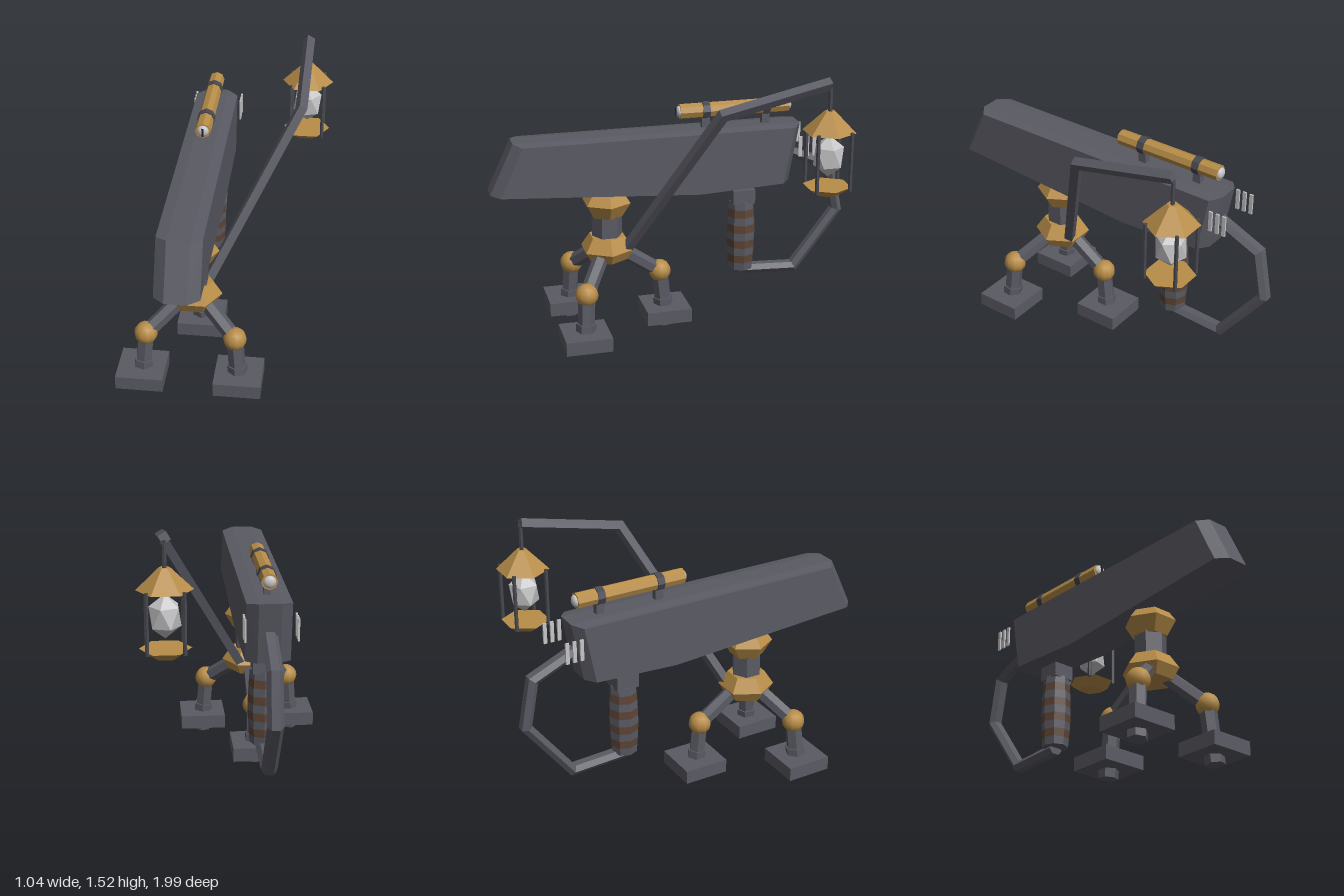
import * as THREE from 'three';
import { ConvexGeometry } from 'three/addons/geometries/ConvexGeometry.js';

const V = (x, y, z) => new THREE.Vector3(x, y, z);
const CX = -0.135, HZ = 0.365; // body centre line and hub position

const mat = (name, color) => {
  const m = new THREE.MeshStandardMaterial({ color });
  m.name = name;
  return m;
};

// Facet a geometry by giving every face its own normals
const facet = (g) => {
  const f = g.index ? g.toNonIndexed() : g;
  f.computeVertexNormals();
  return f;
};

// Straight faceted rod between two points
function rodGeo(a, b, r0, r1, sides) {
  const d = b.clone().sub(a);
  const g = new THREE.CylinderGeometry(r1, r0, d.length(), sides);
  g.applyQuaternion(new THREE.Quaternion().setFromUnitVectors(V(0, 1, 0), d.normalize()));
  const c = a.clone().add(b).multiplyScalar(0.5);
  return facet(g.translate(c.x, c.y, c.z));
}

// Bar with mitred corners along a planar path
function barGeo(pts, rSide, rPlane, sides, phase) {
  const ref = pts[1].clone().sub(pts[0]).cross(pts[2].clone().sub(pts[0])).normalize();
  const dirs = pts.slice(1).map((p, i) => p.clone().sub(pts[i]).normalize());
  const rings = pts.map((p, i) => {
    const d = dirs[Math.max(0, i - 1)], out = dirs[Math.min(dirs.length - 1, i)];
    const t = d.clone().add(out).normalize();
    const v = d.clone().cross(ref);
    return Array.from({ length: sides }, (_, j) => {
      const a = phase + (j / sides) * Math.PI * 2;
      const q = ref.clone().multiplyScalar(Math.cos(a) * rSide).addScaledVector(v, Math.sin(a) * rPlane);
      q.addScaledVector(d, -q.dot(t) / d.dot(t));
      return q.add(p);
    });
  });
  const tris = [];
  for (let i = 0; i < rings.length - 1; i++)
    for (let j = 0; j < sides; j++) {
      const k = (j + 1) % sides, A = rings[i], B = rings[i + 1];
      tris.push(A[j], A[k], B[k], A[j], B[k], B[j]);
    }
  const first = rings[0], last = rings[rings.length - 1];
  for (let j = 1; j < sides - 1; j++)
    tris.push(first[0], first[j + 1], first[j], last[0], last[j], last[j + 1]);
  return facet(new THREE.BufferGeometry().setFromPoints(tris));
}

// Closed faceted turned shape from [radius, y] pairs, bottom to top
const turnGeo = (profile, sides, turn) =>
  facet(new THREE.LatheGeometry(profile.map(([r, y]) => new THREE.Vector2(r, y)), sides).rotateY(turn));

export function createModel() {
  const steel = mat('steel', 0x5a5a64);
  const darkSteel = mat('dark steel', 0x484850);
  const gold = mat('gold', 0xb88d48);
  const brown = mat('brown leather', 0x5e4536);
  const pale = mat('pale crystal', 0xc6c6c8);
  const black = mat('black', 0x202024);

  const model = new THREE.Group();
  model.name = 'tripodDevice';
  const add = (name, geo, material, x = 0, y = 0, z = 0, parent = model) => {
    const m = new THREE.Mesh(geo, material);
    m.name = name;
    m.position.set(x, y, z);
    parent.add(m);
    return m;
  };
  const group = (name) => {
    const g = new THREE.Group();
    g.name = name;
    model.add(g);
    return g;
  };
  const box = (w, h, d) => new THREE.BoxGeometry(w, h, d);

  // Long body with chamfered, raked ends and a slightly bent belly
  const hull = [];
  for (const s of [-1, 1]) {
    hull.push(
      V(s * 0.057, 1.15, 0.87), V(s * 0.115, 1.14, 0.825),
      V(s * 0.057, 1.15, -0.715), V(s * 0.115, 1.14, -0.67),
      V(s * 0.057, 0.875, 1.0), V(s * 0.115, 0.872, 0.95),
      V(s * 0.115, 0.8, -0.14),
      V(s * 0.057, 0.825, -0.655), V(s * 0.115, 0.823, -0.61));
  }
  add('body', new ConvexGeometry(hull), steel, CX);

  // Slim vent bars beside the rear of the body
  for (const x of [-0.265, -0.005])
    for (const z of [-0.775, -0.735, -0.695])
      add('ventBar', box(0.01, 0.115, 0.02), pale, x, 1.037, z);

  // Sight tube with lenses, clamps and stands
  const sight = group('sight');
  add('sightTube', rodGeo(V(CX, 1.245, -0.66), V(CX, 1.245, -0.045), 0.042, 0.042, 8), gold, 0, 0, 0, sight);
  for (const z of [-0.19, -0.53]) {
    add('sightClamp', rodGeo(V(CX, 1.245, z - 0.02), V(CX, 1.245, z + 0.02), 0.048, 0.048, 8), darkSteel, 0, 0, 0, sight);
    add('sightStand', box(0.035, 0.09, 0.045), steel, CX, 1.175, z, sight);
  }
  for (const z of [-0.045, -0.66]) {
    const lens = new THREE.SphereGeometry(0.032, 12, 8).scale(1, 1, 0.6);
    add('lens', lens, pale, CX, 1.245, z, sight);
  }
  add('lensSlit', box(0.011, 0.045, 0.006), black, CX, 1.245, -0.026, sight);

  // Hubs and neck
  const hex = Math.PI / 6;
  add('upperHub', turnGeo([[0, 0.69], [0.09, 0.69], [0.138, 0.77], [0.102, 0.82], [0, 0.82]], 6, hex), gold, CX, 0, HZ);
  add('neck', turnGeo([[0, 0.55], [0.084, 0.55], [0.084, 0.71], [0, 0.71]], 6, 0), steel, CX, 0, HZ);
  add('lowerHub', turnGeo([[0, 0.44], [0.115, 0.44], [0.152, 0.5], [0.102, 0.575], [0, 0.575]], 6, hex), gold, CX, 0, HZ);

  // Three legs with knees and square feet
  for (const [dx, dz] of [[-0.26, 0.18], [0.26, 0.18], [0, -0.325]]) {
    const leg = group('leg');
    const at = (f, y) => V(CX + dx * f, y, HZ + dz * f);
    const knee = at(0.91, 0.33), tip = at(1.01, 0.008);
    const ankle = knee.clone().lerp(tip, 0.5);
    add('upperLeg', rodGeo(at(0.05, 0.52), knee, 0.042, 0.042, 6), steel, 0, 0, 0, leg);
    add('knee', new THREE.SphereGeometry(0.063, 10, 8), gold, knee.x, knee.y, knee.z, leg);
    add('lowerLeg', rodGeo(knee, ankle, 0.046, 0.046, 6), steel, 0, 0, 0, leg);
    add('ankle', rodGeo(ankle, tip, 0.055, 0.052, 6), steel, 0, 0, 0, leg);
    const f = at(1, 0.09);
    add('foot', box(0.253, 0.077, 0.253), steel, f.x, f.y, f.z, leg);
  }

  // Banded grip, slightly barrel shaped
  const grip = group('grip');
  const bands = 9, y0 = 0.305, y1 = 0.71;
  const gripR = (t) => 0.07 + 0.011 * Math.sin(Math.PI * t);
  for (let i = 0; i < bands; i++) {
    const a = i / bands, b = (i + 1) / bands;
    const g = rodGeo(V(0, y0 + (y1 - y0) * a, 0), V(0, y0 + (y1 - y0) * b, 0), gripR(a), gripR(b), 8);
    add(i % 2 ? 'gripWrap' : 'gripBand', g, i % 2 ? brown : steel, CX, 0, -0.403, grip);
  }
  add('gripCap', box(0.12, 0.08, 0.126), steel, CX, 0.74, -0.403, grip);

  // Guard looping from the back of the body to the grip
  const guard = [[0.99, -0.64], [0.87, -0.915], [0.61, -0.965], [0.28, -0.715], [0.295, -0.4]];
  add('guard', barGeo(guard.map(([y, z]) => V(CX, y, z)), 0.042, 0.031, 6, 0), steel);

  // Arm carrying the lantern
  add('lanternArm', barGeo([V(-0.1, 0.46, 0.29), V(0.375, 1.36, -0.14), V(0.375, 1.49, -0.715)],
    0.033, 0.033, 4, Math.PI / 4), steel);

  // Hanging lantern
  const lantern = group('lantern');
  lantern.position.set(0.377, 0, -0.713);
  const hang = (name, geo, m, x = 0, y = 0, z = 0) => add(name, geo, m, x, y, z, lantern);
  hang('hangingRod', rodGeo(V(0, 1.31, 0), V(0, 1.48, 0), 0.012, 0.012, 6), darkSteel);
  hang('lanternRoof', turnGeo([[0, 1.235], [0.141, 1.235], [0.028, 1.345], [0, 1.345]], 6, hex), gold);
  hang('lanternBase', turnGeo([[0, 0.897], [0.07, 0.897], [0.13, 0.94], [0, 0.94]], 6, hex), gold);
  for (const x of [-0.091, 0.091])
    for (const z of [-0.091, 0.091])
      hang('lanternPost', rodGeo(V(x, 0.93, z), V(x, 1.245, z), 0.011, 0.011, 6), darkSteel);
  const crystal = new THREE.IcosahedronGeometry(0.113, 0).rotateZ(-Math.atan(2 / (1 + Math.sqrt(5))));
  hang('crystal', facet(crystal.scale(0.78, 1, 0.78)), pale, 0, 1.102, 0);

  return model;
}
